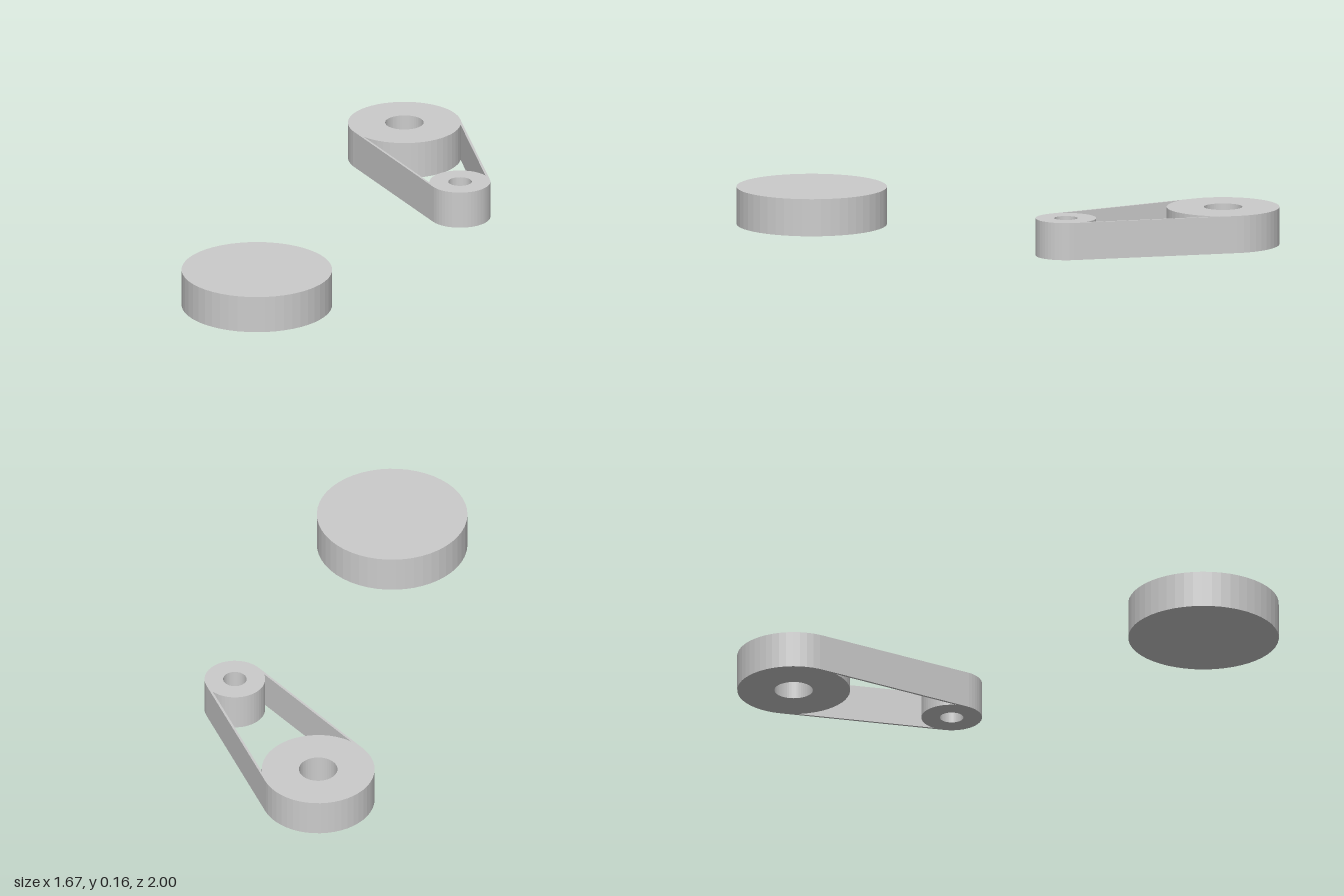
import * as THREE from 'three';

const HEIGHT = 0.16;
const material = new THREE.MeshStandardMaterial({ color: 0xcccccc, flatShading: true });

// Plan-view positions are (x, -z), so extruding and tipping back stands parts on y = 0
const BIG = { centre: new THREE.Vector2(0.594, 0.76), radius: 0.24, bore: 0.082 };
const SMALL = { centre: new THREE.Vector2(0.613, 0.035), radius: 0.129, bore: 0.05 };
const DISC = { centre: new THREE.Vector2(-0.517, -0.68), radius: 0.32, bore: 0 };

function extrudePlan(name, shape) {
  const geometry = new THREE.ExtrudeGeometry(shape, {
    depth: HEIGHT, bevelEnabled: false, curveSegments: 25,
  });
  geometry.rotateX(-Math.PI / 2);
  const mesh = new THREE.Mesh(geometry, material);
  mesh.name = name;
  return mesh;
}

// Round plate, with a through bore where one is given
function wheel(name, { centre, radius, bore }) {
  const shape = new THREE.Shape().absarc(centre.x, centre.y, radius, 0, Math.PI * 2, false);
  if (bore > 0) {
    shape.holes.push(new THREE.Path().absarc(centre.x, centre.y, bore, 0, Math.PI * 2, true));
  }
  return extrudePlan(name, shape);
}

// Thin straight run of belt along the outer tangent of two wheels
function beltRun(name, a, b, side) {
  const thickness = 0.01;
  const axis = b.centre.clone().sub(a.centre);
  const angle = axis.angle() + side * Math.acos((a.radius - b.radius) / axis.length());
  const normal = new THREE.Vector2(Math.cos(angle), Math.sin(angle));
  const at = (w, inset) => w.centre.clone().addScaledVector(normal, w.radius - inset);
  return extrudePlan(name, new THREE.Shape([
    at(a, 0), at(b, 0), at(b, thickness), at(a, thickness),
  ]));
}

export function createModel() {
  const model = new THREE.Group();
  model.name = 'pulleysAndDisc';

  // Belt drive: two bored pulleys joined by a belt
  const drive = new THREE.Group();
  drive.name = 'beltDrive';
  drive.add(
    wheel('largePulley', BIG),
    wheel('smallPulley', SMALL),
    beltRun('leftBeltRun', BIG, SMALL, 1),
    beltRun('rightBeltRun', BIG, SMALL, -1),
  );

  // Separate solid disc
  model.add(drive, wheel('solidDisc', DISC));
  return model;
}
